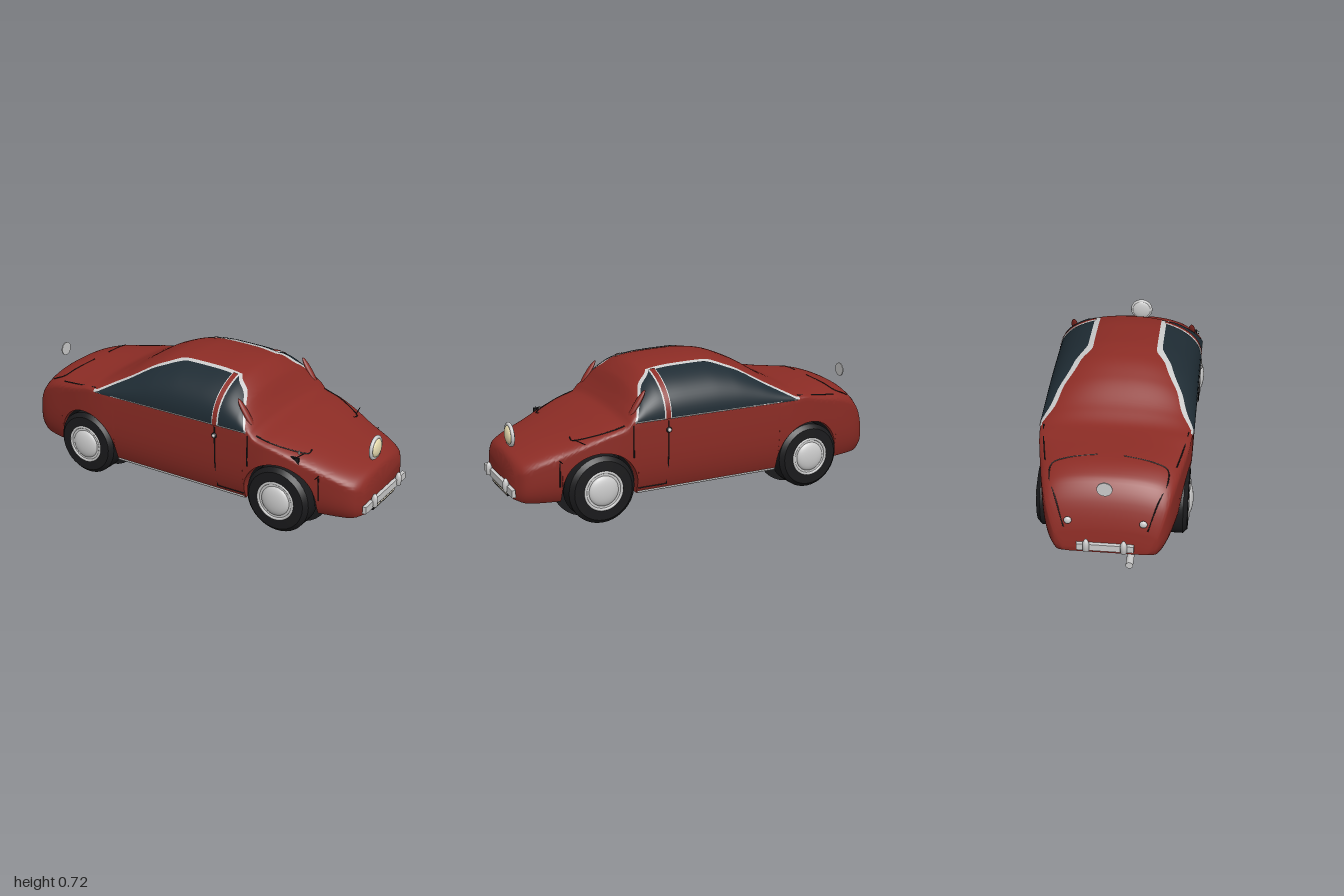
import * as THREE from 'three';
import { toCreasedNormals } from 'three/addons/utils/BufferGeometryUtils.js';

const mat = (color, side = THREE.FrontSide) => new THREE.MeshStandardMaterial({ color, side });
const RED = 0x8c2c25, GLASS = 0x1f2c34, BLACK = 0x1a1a1c, CREAM = 0xe8dcb0, PLATE = 0xcfc8b4, GREY = 0xcccccc;

// Smooth interpolation through [x, value] pairs without overshoot
function curve(pts) {
  const d = pts.slice(1).map((p, i) => (p[1] - pts[i][1]) / (p[0] - pts[i][0]));
  const m = pts.map((p, i) => {
    if (i === 0) return d[0];
    if (i === pts.length - 1) return d[i - 1];
    return d[i - 1] * d[i] <= 0 ? 0 : 2 * d[i - 1] * d[i] / (d[i - 1] + d[i]);
  });
  return x => {
    let i = 0;
    while (i < pts.length - 2 && x > pts[i + 1][0]) i++;
    const h = pts[i + 1][0] - pts[i][0], t = Math.min(1, Math.max(0, (x - pts[i][0]) / h));
    const a = t * t * (3 - 2 * t), b = t * (1 - t);
    return pts[i][1] * (1 - a) + pts[i + 1][1] * a + h * b * (m[i] * (1 - t) - m[i + 1] * t);
  };
}

// Body lines along x: centre height, belt height, half width, floor
const X0 = -0.945, X1 = 0.96, N = 2.25, WHEELS = [-0.545, 0.58], WY = 0.19, ARCH = 0.181;
const roof = curve([[X0, 0.2], [-0.93, 0.3], [-0.88, 0.43], [-0.82, 0.495], [-0.72, 0.525], [-0.5, 0.54],
  [-0.4, 0.58], [-0.25, 0.665], [-0.12, 0.712], [0, 0.725], [0.15, 0.722], [0.28, 0.705], [0.36, 0.65],
  [0.42, 0.56], [0.46, 0.512], [0.55, 0.485], [0.75, 0.42], [0.9, 0.368], [0.95, 0.345], [X1, 0.325]]);
const belt = curve([[X0, 0.18], [-0.93, 0.25], [-0.88, 0.36], [-0.8, 0.42], [-0.6, 0.475], [-0.5, 0.5],
  [0.42, 0.5], [0.46, 0.465], [0.55, 0.44], [0.75, 0.36], [0.95, 0.27], [X1, 0.25]]);
const width = curve([[X0, 0.195], [-0.93, 0.24], [-0.85, 0.29], [-0.7, 0.325], [-0.5, 0.357], [-0.42, 0.361],
  [0.48, 0.361], [0.62, 0.342], [0.75, 0.305], [0.86, 0.277], [0.93, 0.245], [X1, 0.195]]);
const floor = curve([[X0, 0.16], [-0.9, 0.138], [0.9, 0.138], [X1, 0.15]]);

const sideZ = (x, y) => width(x) * (1 - 0.12 * ((belt(x) - y) / (belt(x) - floor(x))) ** 4);
const topY = (x, z) => belt(x) + (roof(x) - belt(x)) * Math.max(0, 1 - (Math.abs(z) / width(x)) ** N) ** (1 / N);
// Point above the belt, t from 0 (belt) to PI/2 (centre line), e = outward offset
function upper(x, t, e = 0) {
  const c = Math.max(0, Math.cos(t)), s = Math.max(0, Math.sin(t));
  return [(width(x) + e) * c ** (2 / N), belt(x) + (roof(x) - belt(x) + e) * s ** (2 / N)];
}

// Half section of the body, wheel arches included
function section(x) {
  const b = floor(x);
  let yb = b;
  for (const c of WHEELS) if (Math.abs(x - c) <= ARCH) yb = WY + Math.sqrt(ARCH ** 2 - (x - c) ** 2);
  const p = [[0, b], [0.16, b], [0.16, yb]];
  for (let i = 0; i < 10; i++) {
    const y = yb + (belt(x) - yb) * (i / 10) ** 1.3;
    p.push([sideZ(x, y), y]);
  }
  for (let i = 0; i <= 20; i++) p.push(upper(x, i / 20 * Math.PI / 2));
  return p;
}

function mesh(name, geo, color, x = 0, y = 0, z = 0, side) {
  const m = new THREE.Mesh(geo, mat(color, side));
  m.name = name;
  m.position.set(x, y, z);
  return m;
}

function indexed(pos, idx) {
  const g = new THREE.BufferGeometry();
  g.setAttribute('position', new THREE.Float32BufferAttribute(pos, 3));
  g.setIndex(idx);
  return g;
}

function bodyGeometry() {
  const xs = [];
  for (let i = 0; i <= 150; i++) xs.push(X0 + (X1 - X0) * i / 150);
  for (const c of WHEELS) for (const s of [-1, 1]) for (const k of [0.03, 0.0001, -0.0002, -0.002, -0.006])
    xs.push(c + s * (ARCH + k));
  xs.push(-0.94, -0.935, 0.955, 0.9575);
  xs.sort((a, b) => a - b);
  const pos = [], idx = [];
  let n = 0;
  for (const x of xs) {
    const half = section(x);
    const ring = [...half, ...half.slice(1, -1).reverse().map(([z, y]) => [-z, y])];
    n = ring.length;
    for (const [z, y] of ring) pos.push(x, y, z);
  }
  const last = (xs.length - 1) * n, c0 = xs.length * n;
  pos.push(X0, 0.18, 0, X1, 0.24, 0);
  for (let j = 0; j < n; j++) {
    const k = (j + 1) % n;
    for (let i = 0; i < last; i += n) idx.push(i + j, i + n + j, i + n + k, i + j, i + n + k, i + k);
    idx.push(c0, j, k, c0 + 1, last + k, last + j);
  }
  return toCreasedNormals(indexed(pos, idx), 0.6);
}

// Panel lying on the cabin side from the belt up to top(x), at most the share fMax of the cabin height
function panel(x0, x1, top, fMax, e, s) {
  const pos = [], idx = [], nx = 36, ny = 14;
  for (let i = 0; i <= nx; i++) for (let j = 0; j <= ny; j++) {
    const x = x0 + (x1 - x0) * i / nx;
    const f = Math.min(fMax, Math.max(0, (top(x) - belt(x)) / (roof(x) - belt(x))));
    const [z, y] = upper(x, Math.asin(f ** (N / 2)) * j / ny, e);
    pos.push(x, y, s * z);
    if (i < nx && j < ny) {
      const a = i * (ny + 1) + j, b = a + ny + 1;
      if (s > 0) idx.push(a, b, b + 1, a, b + 1, a + 1);
      else idx.push(a, b + 1, b, a, a + 1, b + 1);
    }
  }
  const g = indexed(pos, idx);
  g.computeVertexNormals();
  return g;
}

const tube = (pts, r = 0.003) => new THREE.TubeGeometry(
  new THREE.CatmullRomCurve3(pts.map(p => new THREE.Vector3(...p)), false, 'centripetal'), 32, r, 6);
const lathe = (pts, seg = 40) => new THREE.LatheGeometry(pts.map(p => new THREE.Vector2(...p)), seg);

function wheel(x, s) {
  const g = new THREE.Group();
  g.name = 'wheel';
  const tyre = lathe([[0, 0.23], [0.145, 0.23], [0.165, 0.25], [0.165, 0.335], [0.145, 0.355], [0.098, 0.357], [0.098, 0.34], [0, 0.34]]);
  g.add(mesh('tyre', toCreasedNormals(tyre.rotateX(Math.PI / 2), 0.5), BLACK));
  g.add(mesh('rim', new THREE.CylinderGeometry(0.098, 0.098, 0.02, 40).rotateX(Math.PI / 2), GREY, 0, 0, 0.345));
  g.add(mesh('rimRing', new THREE.TorusGeometry(0.092, 0.007, 8, 40), GREY, 0, 0, 0.354));
  g.add(mesh('hubcap', new THREE.SphereGeometry(0.075, 28, 16).scale(1, 1, 0.33), GREY, 0, 0, 0.352));
  // Arch lining: full back disc and the upper half of a drum
  g.add(mesh('archBack', new THREE.CylinderGeometry(0.19, 0.19, 0.008, 40).rotateX(Math.PI / 2), BLACK, 0, 0, 0.16));
  const drum = new THREE.CylinderGeometry(0.179, 0.179, 0.14, 30, 1, true, Math.PI / 2, Math.PI);
  g.add(mesh('archLiner', drum.rotateX(Math.PI / 2), BLACK, 0, 0, 0.235, THREE.DoubleSide));
  g.position.set(x, WY, 0);
  if (s < 0) g.rotation.y = Math.PI;
  return g;
}

export function createModel() {
  const car = new THREE.Group();
  car.name = 'car';
  car.add(mesh('body', bodyGeometry(), RED));

  const rearTop = curve([[-0.46, 0.502], [-0.3, 0.585], [-0.15, 0.665], [0, 0.704], [0.24, 0.7]]);
  const frontTop = curve([[0.26, 0.693], [0.33, 0.642], [0.38, 0.565], [0.41, 0.505]]);
  for (const s of [-1, 1]) {
    // Windows, trims and pillar
    const add = (name, g, c) => car.add(mesh(name, g, c, 0, 0, 0, THREE.DoubleSide));
    add('rearWindowTrim', panel(-0.475, 0.245, x => rearTop(x) + 0.011, 0.93, 0.002, s), GREY);
    add('frontWindowTrim', panel(0.245, 0.418, x => frontTop(x - 0.005) + 0.005, 0.93, 0.002, s), GREY);
    add('rearWindow', panel(-0.46, 0.232, rearTop, 0.9, 0.005, s), GLASS);
    add('frontWindow', panel(0.267, 0.41, frontTop, 0.9, 0.005, s), GLASS);
    add('pillarTrim', panel(0.232, 0.267, () => 0.72, 0.91, 0.006, s), GREY);
    add('pillar', panel(0.238, 0.261, () => 0.72, 0.91, 0.009, s), RED);
    add('beltTrim', tube([[-0.46, 0.502, s * 0.362], [0, 0.502, s * 0.364], [0.415, 0.502, s * 0.364]], 0.004), GREY);
    add('sillTrim', tube([[-0.36, 0.143, s * 0.322], [0.395, 0.143, s * 0.322]], 0.005), GREY);
    const fairing = mesh('windscreenFairing', new THREE.SphereGeometry(1, 20, 14).scale(0.012, 0.08, 0.018), RED, 0.388, 0.572, s * 0.308);
    fairing.rotation.z = 0.6;
    car.add(fairing);

    // Panel seams
    const flank = (x, y) => [x, y, s * sideZ(x, y)];
    const skin = (x, z) => [x, topY(x, z), s * z];
    add('doorSeam', tube([0.49, 0.4, 0.3, 0.165].map(y => flank(0.245, y))), BLACK);
    add('doorSeam', tube([0.49, 0.42, 0.33].map(y => flank(0.425, y))), BLACK);
    add('doorSeam', tube([flank(0.245, 0.165), flank(0.395, 0.165)]), BLACK);
    add('noseSeam', tube([0.22, 0.28, 0.34].map(y => flank(0.772, y))), BLACK);
    add('noseSeamBar', tube([[0.772, 0.348, s * 0.285], [0.772, 0.348, s * 0.335]], 0.002), BLACK);
    add('hoodSeam', tube([[0.46, 0.335], [0.53, 0.328], [0.6, 0.305], [0.69, 0.25], [0.69, 0.215]].map(p => skin(...p))), BLACK);
    add('hoodSeamBar', tube([[0.69, 0.425, s * 0.21], [0.66, 0.425, s * 0.34]], 0.002), BLACK);
    add('bootSeam', tube([[-0.93, 0.19], [-0.88, 0.23], [-0.8, 0.268], [-0.74, 0.262], [-0.72, 0.2], [-0.7, 0.06]].map(p => skin(...p))), BLACK);
    add('rearSeam', tube([[-0.71, 0.3], [-0.6, 0.322], [-0.47, 0.342]].map(p => skin(...p))), BLACK);

    car.add(mesh('doorHandle', new THREE.SphereGeometry(0.014, 14, 10).scale(1, 1, 0.8), BLACK, 0.245, 0.445, s * 0.362));
    car.add(mesh('doorHandleCap', new THREE.SphereGeometry(0.01, 12, 8), GREY, 0.245, 0.445, s * 0.366));
    car.add(mesh('tailLamp', new THREE.SphereGeometry(0.018, 16, 12).scale(0.6, 1, 1), GREY, -0.928, 0.32, s * 0.17));

    // Pointed bumper guards
    const guard = lathe([[0, 0], [0.015, 0], [0.015, 0.042], [0.008, 0.058], [0, 0.066]], 12);
    car.add(mesh('frontBumperGuard', guard, GREY, 0.982, 0.18, s * 0.13));
    car.add(mesh('rearBumperGuard', guard, GREY, -0.966, 0.185, s * 0.085));
    for (const x of WHEELS) car.add(wheel(x, s));
  }

  // Small marker on one front wing
  car.add(mesh('wingMarkerFoot', new THREE.BoxGeometry(0.05, 0.04, 0.012), BLACK, 0.655, 0.405, 0.32));
  car.add(mesh('wingMarkerArm', tube([[0.655, 0.415, 0.32], [0.66, 0.424, 0.25]]), BLACK));
  car.add(mesh('wingMarker', new THREE.CylinderGeometry(0.004, 0.004, 0.03, 10), GREY, 0.66, 0.428, 0.285));

  // Head lamp and round rear disc
  car.add(mesh('headlampRing', new THREE.TorusGeometry(0.052, 0.009, 12, 40).rotateY(Math.PI / 2), GREY, 0.912, 0.41, 0));
  car.add(mesh('headlampShell', new THREE.SphereGeometry(0.054, 28, 16).scale(0.3, 1, 1), GREY, 0.909, 0.41, 0));
  car.add(mesh('headlampLens', new THREE.SphereGeometry(0.046, 28, 16).scale(0.4, 1, 1), CREAM, 0.916, 0.41, 0));
  car.add(mesh('rearDisc', new THREE.CylinderGeometry(0.035, 0.035, 0.006, 28).rotateZ(Math.PI / 2), GREY, -0.945, 0.515, 0));

  // Bumpers, tailpipe and plate
  car.add(mesh('frontBumper', new THREE.BoxGeometry(0.018, 0.036, 0.434), GREY, 0.972, 0.192, 0));
  car.add(mesh('rearBumper', new THREE.BoxGeometry(0.018, 0.034, 0.26), GREY, -0.956, 0.2, 0));
  car.add(mesh('tailpipe', new THREE.CylinderGeometry(0.017, 0.017, 0.09, 20).rotateZ(Math.PI / 2), GREY, -0.955, 0.14, 0.114));
  car.add(mesh('plateFrame', new THREE.BoxGeometry(0.01, 0.034, 0.23), BLACK, 0.966, 0.164, 0));
  car.add(mesh('plate', new THREE.BoxGeometry(0.01, 0.024, 0.218), PLATE, 0.969, 0.166, 0));
  for (let i = 0; i < 6; i++)
    car.add(mesh('plateMark', new THREE.BoxGeometry(0.004, 0.01, 0.01), BLACK, 0.974, 0.169, (i - 2.5) * 0.032));
  return car;
}
